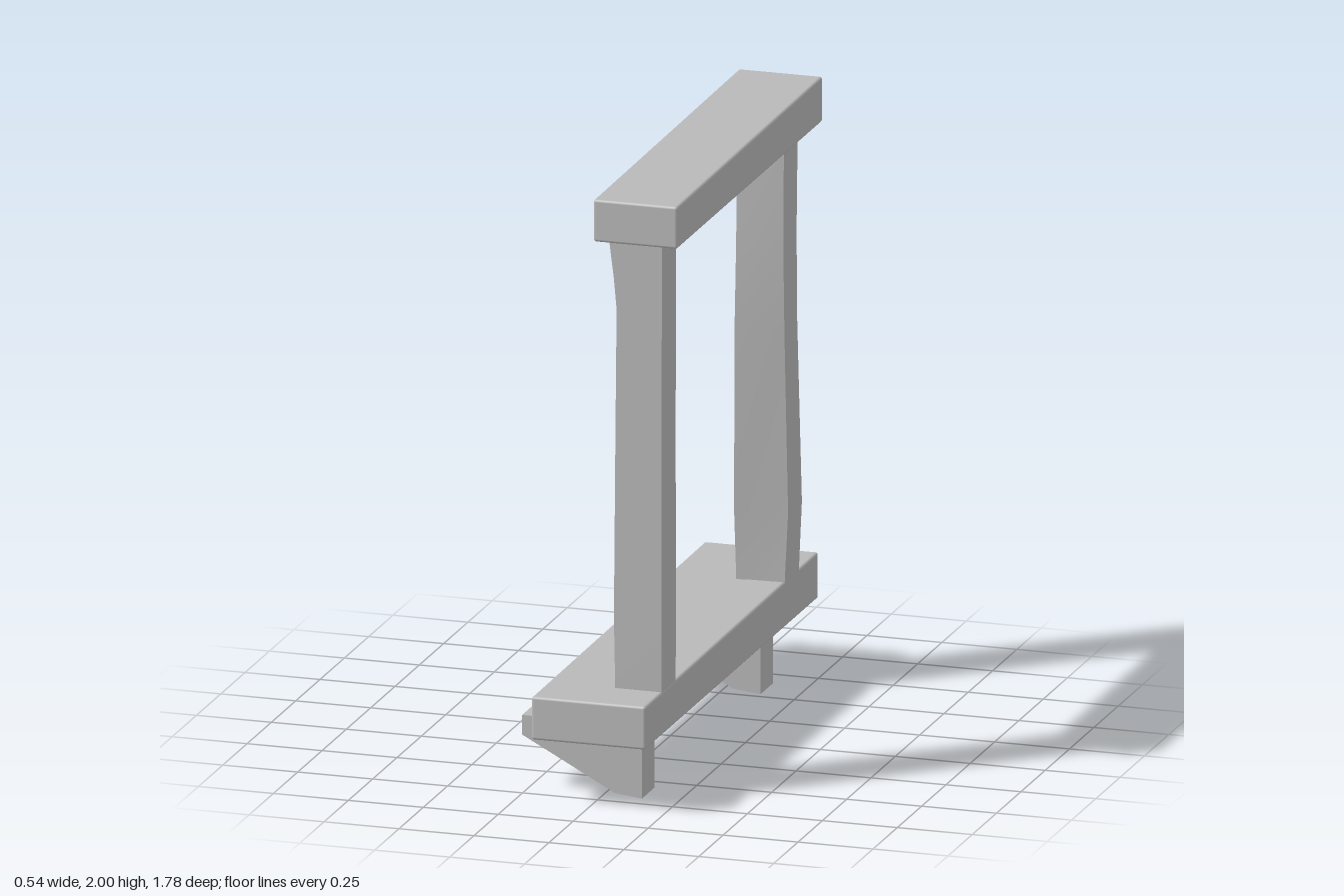
import * as THREE from 'three';
import { toCreasedNormals } from 'three/addons/utils/BufferGeometryUtils.js';
import { RoundedBoxGeometry } from 'three/addons/geometries/RoundedBoxGeometry.js';

const stone = new THREE.MeshStandardMaterial({ color: 0xb8b8b8 });
stone.name = 'grey stone';

// Closed solid through equal-length rings, counter-clockwise seen from the last ring's end
function loft(rings) {
  const n = rings[0].length, last = (rings.length - 1) * n, index = [];
  for (let r = 0; r < rings.length - 1; r++) {
    for (let i = 0; i < n; i++) {
      const a = r * n + i, b = r * n + (i + 1) % n;
      index.push(a, b, b + n, a, b + n, a + n);
    }
  }
  for (let i = 1; i < n - 1; i++) {
    index.push(0, i + 1, i, last, last + i, last + i + 1);
  }
  const geo = new THREE.BufferGeometry();
  geo.setAttribute('position', new THREE.Float32BufferAttribute(rings.flat(2), 3));
  geo.setIndex(index);
  return toCreasedNormals(geo, 0.6);
}

function add(group, name, geo) {
  const mesh = new THREE.Mesh(geo, stone);
  mesh.name = name;
  group.add(mesh);
}

// Beam with softened edges; its top drops slightly toward +z
function beam(x0, x1, y0, y1, z0, z1, drop) {
  const geo = new RoundedBoxGeometry(x1 - x0, y1 - y0, z1 - z0, 2, 0.009);
  geo.translate((x0 + x1) / 2, (y0 + y1) / 2, (z0 + z1) / 2);
  const p = geo.attributes.position;
  for (let i = 0; i < p.count; i++) {
    if (p.getY(i) > (y0 + y1) / 2) {
      p.setY(i, p.getY(i) - drop * (p.getZ(i) - z0) / (z1 - z0));
    }
  }
  return geo;
}

// Post from levels: y, inner x, outer x, outer-side z (front, back), inner-side z (back, front)
function post(levels) {
  return loft(levels.map(([y, xi, xo, za, zb, zc, zd]) =>
    [[xo, y, za], [xo, y, zb], [xi, y, zc], [xi, y, zd]]));
}

// Bracket foot: straight underside in front, hollowed toward the back
function bracket(z0, z1) {
  const ring = (z, lift) => [
    [0.13, 0.24, z], [-0.27, 0.24, z], [-0.27, 0.175, z],
    [-0.2, 0.138 + lift * 0.2, z], [-0.11, 0.09 + lift, z], [-0.03, 0.047 + lift * 0.5, z],
    [0.04, 0.01, z], [0.13, 0, z],
  ];
  return loft([ring(z0, 0.035), ring((z0 + z1) / 2, 0.02), ring(z1, 0)]);
}

export function createModel() {
  const group = new THREE.Group();
  group.name = 'window frame';

  add(group, 'lintel', beam(-0.01, 0.27, 1.85, 2.0, -0.733, 0.763, 0.01));
  add(group, 'sill', beam(-0.175, 0.205, 0.222, 0.375, -0.89, 0.89, 0.01));

  // Front post flares under the lintel
  add(group, 'frontPost', post([
    [0.3, 0.05, 0.203, 0.718, 0.575, 0.565, 0.718],
    [0.6, 0.045, 0.205, 0.722, 0.573, 0.566, 0.72],
    [1.2, 0.05, 0.203, 0.72, 0.573, 0.57, 0.72],
    [1.62, 0.054, 0.205, 0.72, 0.573, 0.573, 0.72],
    [1.72, 0.045, 0.205, 0.72, 0.573, 0.573, 0.72],
    [1.88, 0.025, 0.205, 0.72, 0.573, 0.573, 0.72],
  ]));
  // Back post is worn and slightly twisted
  add(group, 'backPost', post([
    [0.3, 0.05, 0.203, -0.538, -0.685, -0.685, -0.53],
    [0.6, 0.043, 0.214, -0.55, -0.692, -0.692, -0.522],
    [1.2, 0.045, 0.205, -0.54, -0.672, -0.688, -0.52],
    [1.5, 0.05, 0.205, -0.528, -0.665, -0.684, -0.522],
    [1.88, 0.05, 0.207, -0.53, -0.672, -0.678, -0.53],
  ]));

  add(group, 'frontBracket', bracket(0.565, 0.693));
  add(group, 'backBracket', bracket(-0.655, -0.525));
  return group;
}
